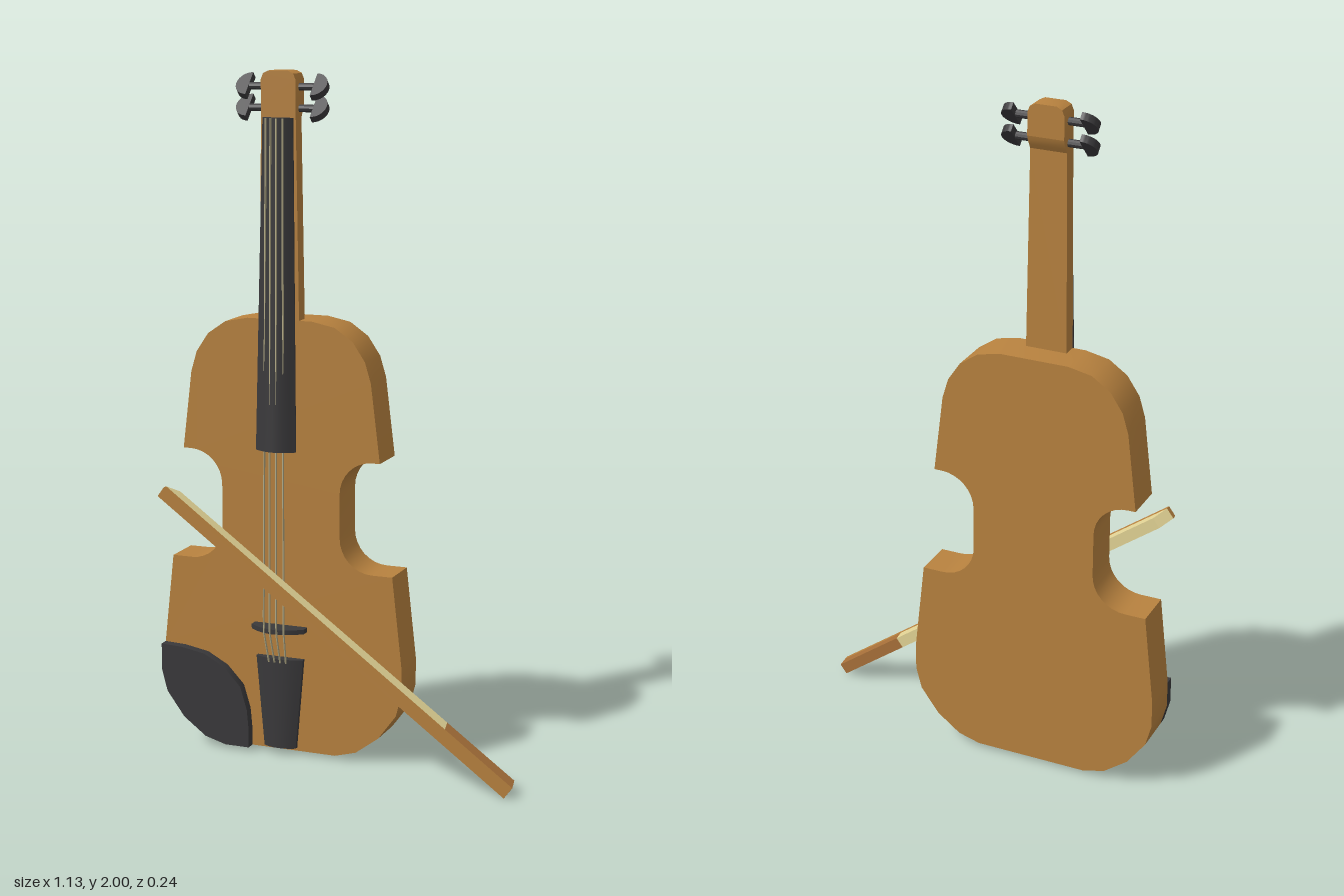
import * as THREE from 'three';
import { toCreasedNormals } from 'three/addons/utils/BufferGeometryUtils.js';

const mat = (color) => new THREE.MeshStandardMaterial({ color, roughness: 0.8 });
const CX = -0.186; // centre line of the violin

const add = (parent, name, geometry, material) => {
  const mesh = new THREE.Mesh(toCreasedNormals(geometry, 0.6), material);
  mesh.name = name;
  parent.add(mesh);
  return mesh;
};

// Flat plate from an outline, reaching from z0 to z1
const plate = (shape, z0, z1) =>
  new THREE.ExtrudeGeometry(shape, { depth: z1 - z0, bevelEnabled: false, curveSegments: 10 }).translate(0, 0, z0);

const polygon = (pts) => new THREE.Shape(pts.map(([x, y]) => new THREE.Vector2(x, y)));

// Bar with a domed front, between two levels: [y, half width, back z, edge z, crown z]
function domedBar(a, b, n = 8) {
  const pos = [];
  const index = [];
  for (const [y, w, back, edge, crown] of [a, b]) {
    pos.push(w, y, back);
    for (let i = 0; i <= n; i++) {
      const t = 1 - (2 * i) / n;
      pos.push(w * t, y, edge + (crown - edge) * (1 - t * t));
    }
    pos.push(-w, y, back);
  }
  const m = n + 3;
  for (let i = 0; i < m; i++) {
    const j = (i + 1) % m;
    index.push(i, m + i, j, j, m + i, m + j);
    if (i > 0 && i < m - 1) index.push(0, i, i + 1, m, m + i + 1, m + i);
  }
  const g = new THREE.BufferGeometry();
  g.setAttribute('position', new THREE.Float32BufferAttribute(pos, 3));
  g.setIndex(index);
  g.computeVertexNormals();
  return g;
}

// Outline of the body: one half from bottom to top, then mirrored
function bodyOutline() {
  const half = [[0.17, 0.01], [0.235, 0.028], [0.305, 0.08], [0.36, 0.155], [0.377, 0.22], [0.377, 0.3], [0.347, 0.57], [0.285, 0.57]];
  for (let i = 1; i <= 8; i++) {
    const a = (i / 8) * Math.PI / 2;
    half.push([0.285 - 0.1 * Math.sin(a), 0.67 - 0.1 * Math.cos(a)]);
  }
  for (let i = 0; i <= 8; i++) {
    const a = (i / 8) * Math.PI / 2;
    half.push([0.285 - 0.1 * Math.cos(a), 0.8 + 0.1 * Math.sin(a)]);
  }
  half.push([0.308, 0.9], [0.28, 1.13], [0.262, 1.19], [0.225, 1.245], [0.17, 1.283], [0.1, 1.297]);
  return polygon([...half, ...half.slice().reverse().map(([x, y]) => [-x, y])]);
}

export function createModel() {
  const model = new THREE.Group();
  model.name = 'violinWithBow';
  const wood = mat(0xb8823f);
  const black = mat(0x3a393b);
  const cream = mat(0xe4d596);
  const frogWood = mat(0xa9713a);
  const stringMat = mat(0xb0a884);

  const violin = new THREE.Group();
  violin.name = 'violin';
  violin.position.x = CX;
  model.add(violin);

  add(violin, 'body', plate(bodyOutline(), -0.122, 0), wood);
  add(violin, 'neck', plate(polygon([[-0.061, 1.29], [0.061, 1.29], [0.053, 1.87], [-0.053, 1.87]]), -0.042, 0), wood);

  // Head, and the curved step from neck depth to head depth (side profile: z, y)
  add(violin, 'head', plate(polygon([[-0.053, 1.91], [0.053, 1.91], [0.053, 1.975], [0.046, 1.992],
    [0.03, 2], [-0.03, 2], [-0.046, 1.992], [-0.053, 1.975]]), -0.062, 0), wood);
  add(violin, 'headStep', plate(polygon([[0, 1.87], [0, 1.91], [-0.062, 1.91], [-0.058, 1.897],
    [-0.05, 1.883], [-0.042, 1.87]]), -0.053, 0.053).rotateY(-Math.PI / 2), wood);

  // Fingerboard, its support, bridge and tailpiece
  add(violin, 'fingerboard', domedBar([0.92, 0.062, 0.028, 0.032, 0.057], [1.87, 0.046, 0, 0.006, 0.034]), black);
  add(violin, 'fingerboardSupport', new THREE.BoxGeometry(0.1, 0.016, 0.036).translate(0, 0.978, 0.016), black);
  add(violin, 'bridge', domedBar([0.379, 0.083, 0, 0.025, 0.06], [0.393, 0.083, 0, 0.025, 0.06]), black);
  add(violin, 'tailpiece', domedBar([0.02, 0.05, 0, 0.012, 0.026], [0.295, 0.074, 0, 0.012, 0.03]), black);

  // Strings, from tailpiece over the bridge to the nut
  for (let i = 0; i < 4; i++) {
    const k = i - 1.5;
    const drop = 0.003 * k * k;
    const path = new THREE.CurvePath();
    const pts = [[k * 0.018, 0.285, 0.029], [k * 0.021, 0.386, 0.062 - drop], [k * 0.017, 1.87, 0.037 - drop]]
      .map((p) => new THREE.Vector3(...p));
    path.add(new THREE.LineCurve3(pts[0], pts[1]));
    path.add(new THREE.LineCurve3(pts[1], pts[2]));
    add(violin, 'string', new THREE.TubeGeometry(path, 32, 0.003, 5), stringMat);
  }

  // Chin rest following the lower edge of the body
  const chin = polygon([[-0.377, 0.3], [-0.377, 0.22], [-0.36, 0.155], [-0.305, 0.08], [-0.235, 0.028], [-0.17, 0.01],
    [-0.095, 0.01], [-0.095, 0.07], [-0.1, 0.125], [-0.121, 0.195], [-0.173, 0.25], [-0.236, 0.284], [-0.31, 0.297]]);
  add(violin, 'chinRest', plate(chin, 0, 0.028), black);

  // Pegs: shaft plus a tilted half-disc grip
  const grip = new THREE.Shape();
  grip.absellipse(0, 0, 0.04, 0.041, -Math.PI / 2, Math.PI / 2, false);
  for (const y of [1.895, 1.955]) {
    for (const side of [-1, 1]) {
      const peg = new THREE.Group();
      peg.name = 'peg';
      peg.position.set(0, y, -0.03);
      peg.rotation.y = side < 0 ? Math.PI : 0;
      add(peg, 'pegShaft', new THREE.CylinderGeometry(0.011, 0.011, 0.08, 10).rotateZ(Math.PI / 2).translate(0.075, 0, 0), black);
      const head = add(peg, 'pegGrip', plate(grip, -0.011, 0.011), black);
      head.position.x = 0.098;
      head.rotation.x = -side * Math.PI / 4;
      violin.add(peg);
    }
  }

  // Bow: side profiles (along the bow, depth) extruded across its width
  const bow = new THREE.Group();
  bow.name = 'bow';
  bow.position.set(0.02, 0.402, 0);
  bow.rotation.z = -Math.atan2(0.775, 1.06);
  model.add(bow);
  const H = 0.659;
  const strip = (pts) => plate(polygon(pts), -0.017, 0.017).rotateX(Math.PI / 2);
  add(bow, 'bowStick', strip([[-H, 0.105], [H, 0.105], [H, 0.121], [-H, 0.121]]), wood);
  add(bow, 'bowHair', strip([[-H, 0.105], [-H + 0.035, 0.07], [0.4, 0.062], [0.41, 0.105]]), cream);
  add(bow, 'bowFrog', strip([[0.41, 0.105], [0.4, 0.062], [H - 0.01, 0.06], [H, 0.105]]), frogWood);

  return model;
}
